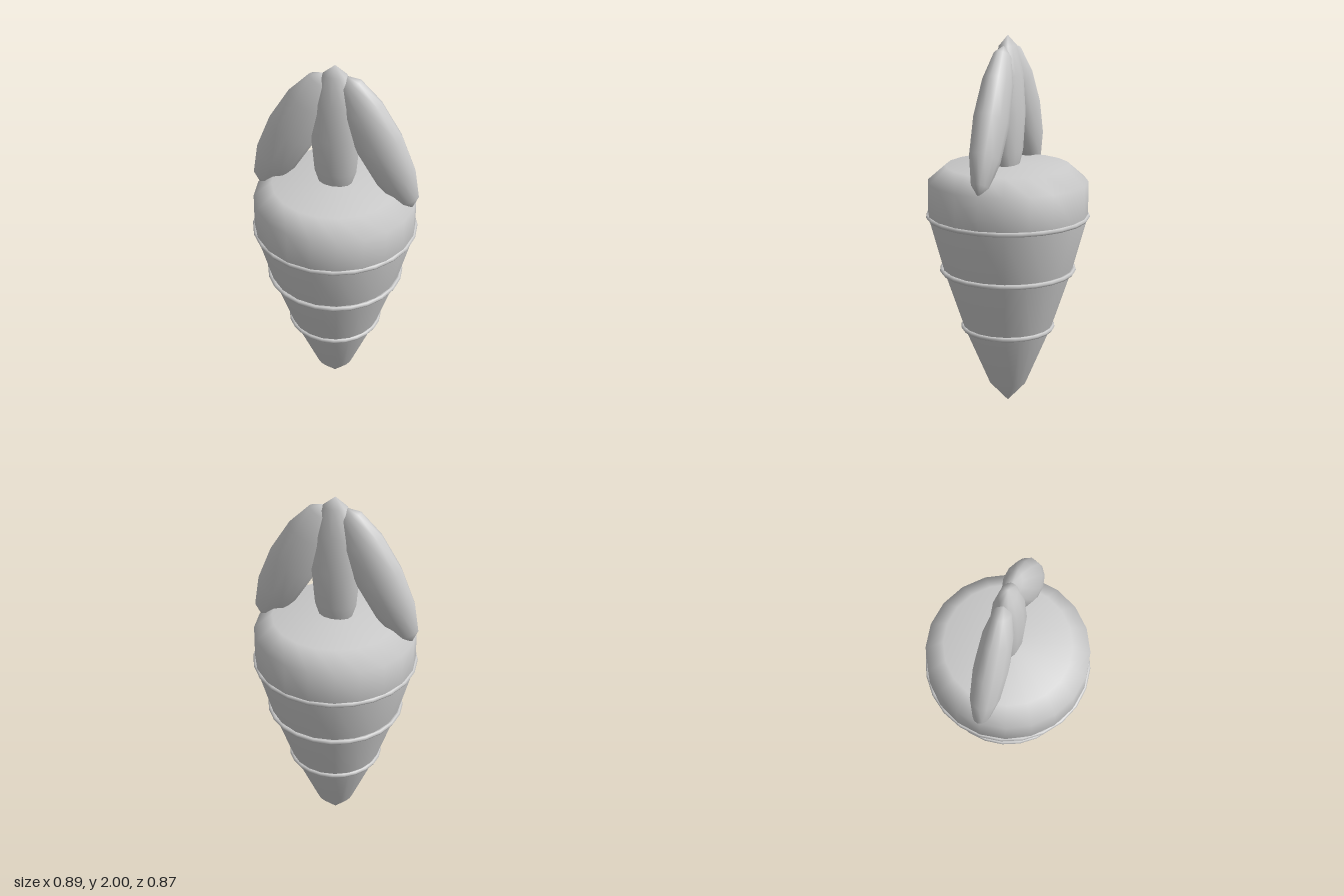
import * as THREE from 'three';

export function createModel() {
  const group = new THREE.Group();
  group.name = 'carrot';
  const material = new THREE.MeshStandardMaterial({ color: 0xcccccc });

  function add(name, geometry) {
    const mesh = new THREE.Mesh(geometry, material);
    mesh.name = name;
    group.add(mesh);
    return mesh;
  }

  // Tapered root with a rounded shoulder
  const profile = [
    [0, 0], [0.1, 0.11], [0.235, 0.43], [0.345, 0.76], [0.425, 1.055],
    [0.423, 1.24], [0.328, 1.323], [0, 1.332],
  ].map(([r, y]) => new THREE.Vector2(r, y));
  add('root', new THREE.LatheGeometry(profile, 20));

  // Thin ridges around the root
  [[0.241, 0.437], [0.352, 0.76], [0.422, 1.055]].forEach(([r, y], i) => {
    const ring = add(`ridge${i + 1}`, new THREE.TorusGeometry(r, 0.013, 6, 24).rotateX(Math.PI / 2));
    ring.position.y = y;
  });

  // Flattened leaves: one upright, two leaning in towards its tip
  const leafGeometry = new THREE.SphereGeometry(1, 12, 6).scale(0.13, 0.4, 0.086);
  add('middleLeaf', leafGeometry).position.y = 1.6;
  for (const side of [1, -1]) {
    const leaf = add(side > 0 ? 'leftLeaf' : 'rightLeaf', leafGeometry);
    leaf.position.set(side * 0.23, 1.594, 0);
    leaf.rotation.z = side * 0.466;
  }
  return group;
}
